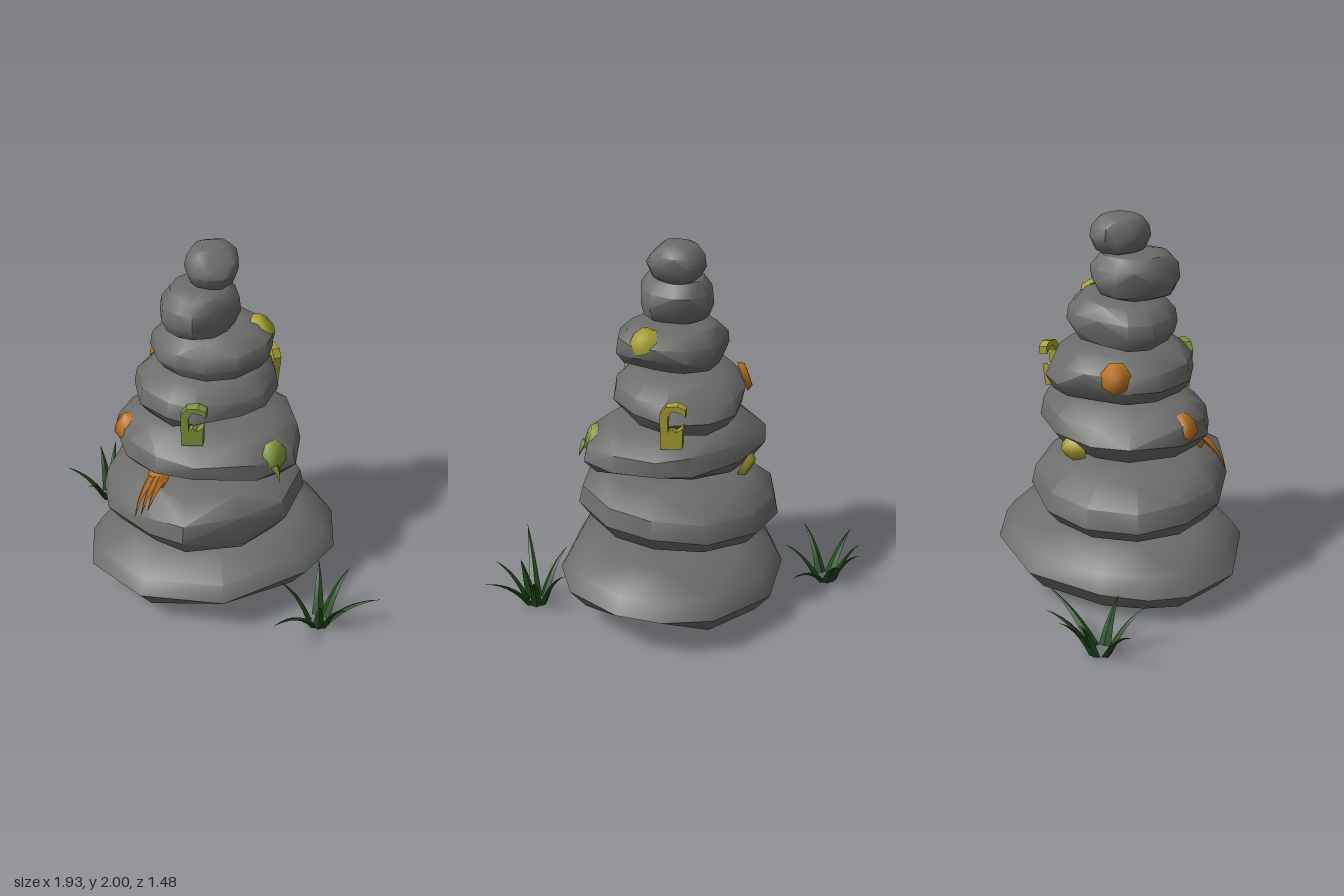
import * as THREE from 'three';
import { toCreasedNormals } from 'three/addons/utils/BufferGeometryUtils.js';
import { ConvexGeometry } from 'three/addons/geometries/ConvexGeometry.js';

const SIDES = 12;
const V = (x, y, z) => new THREE.Vector3(x, y, z);
const mat = (color) => new THREE.MeshStandardMaterial({ color, side: THREE.DoubleSide });
const stoneMat = mat(0x6c6c6a), grassMat = mat(0x1f4a1c);
const yellow = mat(0xa8a034), green = mat(0x7f963c), orange = mat(0xb8701e);

function makeRandom(seed) {
  return () => {
    seed = (seed * 16807) % 2147483647;
    return seed / 2147483647;
  };
}

// Stone cross-sections as [radius, height] fractions
const FLAT = [[0.5, 0.01], [0.86, 0.16], [1, 0.46], [0.92, 0.7], [0.68, 0.93], [0.4, 1]];
const FULL = [[0.55, 0.01], [0.87, 0.13], [1, 0.4], [0.96, 0.68], [0.74, 0.93], [0.42, 1]];
const ROUND = [[0.5, 0.01], [0.82, 0.15], [1, 0.45], [0.94, 0.72], [0.7, 0.93], [0.42, 1]];

// Stones from bottom to top: x, y and z ranges, tilt along x and z,
// chips as [angle from +z towards +x, elevation, distance],
// and diag, which widens the stone between its right front and left back
const STONES = [
  { x: [-0.69, 0.68], y: [0.01, 0.42], z: [-0.64, 0.57], tilt: [0.07, 0.03], profile: FLAT, chips: [[120, -32, 0.97], [25, -35, 0.97]],
    outline: [[0.15, 0.57], [0.55, 0.26], [0.68, 0.02], [0.64, -0.3], [0.51, -0.5], [0.28, -0.64],
      [-0.13, -0.64], [-0.48, -0.4], [-0.62, -0.2], [-0.69, 0], [-0.62, 0.3], [-0.3, 0.55]] },
  { x: [-0.6, 0.49], y: [0.4, 0.78], z: [-0.53, 0.55], tilt: [0.065, 0.06], profile: FULL, diag: -0.04, chips: [[28, 0, 0.9], [315, 5, 0.91]] },
  { x: [-0.52, 0.46], y: [0.77, 1.1], z: [-0.45, 0.4], tilt: [-0.04, -0.05], profile: FULL, diag: -0.01, chips: [[12, -32, 0.86], [118, -35, 0.87], [230, 25, 0.9]] },
  { x: [-0.42, 0.33], y: [1.07, 1.36], z: [-0.43, 0.33], tilt: [0, 0.02], profile: FULL, diag: 0.05, chips: [[160, 20, 0.88], [215, -15, 0.87], [35, -35, 0.88]] },
  { x: [-0.33, 0.3], y: [1.34, 1.6], z: [-0.31, 0.25], tilt: [0.06, 0], profile: FULL, diag: 0.01, chips: [[115, -30, 0.87], [215, -5, 0.87]] },
  { x: [-0.26, 0.14], y: [1.58, 1.82], z: [-0.21, 0.25], tilt: [0, 0], profile: FULL, diag: 0.06, chips: [[45, 0, 0.86], [130, -15, 0.93], [235, -10, 0.88]] },
  { x: [-0.15, 0.12], y: [1.8, 2], z: [-0.2, 0.12], tilt: [0, 0], profile: ROUND, diag: 0, chips: [[30, 35, 0.88], [110, -15, 0.9], [250, 10, 0.9]] },
];

function makeStone({ x, y, z, tilt, profile, diag, chips, outline }, index) {
  const random = makeRandom(101 + index * 977);
  const size = V(x[1] - x[0], y[1] - y[0], z[1] - z[0]);
  const rim = Array.from({ length: SIDES }, (_, i) => {
    if (outline) return [outline[i][0] / size.x * 2, (outline[i][1] + 0.035) / size.z * 2];
    const a = ((i + 0.3 * random()) / SIDES) * Math.PI * 2;
    const r = 0.97 + 0.07 * random() - diag * Math.sin(2 * a);
    return [Math.sin(a) * r, Math.cos(a) * r];
  });
  const cuts = chips.map(([angle, elevation, dist]) => ({
    n: V().setFromSphericalCoords(1, THREE.MathUtils.degToRad(90 - elevation), THREE.MathUtils.degToRad(angle)), dist,
  }));
  const points = [];
  profile.forEach(([r, h], ring) => {
    for (const [rx, rz] of rim) {
      const inner = ring > 0 && ring < profile.length - 1;
      const v = V(rx * r, h * 2 - 1 + (inner ? 0.1 * (random() - 0.5) : 0), rz * r);
      // Flatten the chipped faces
      for (const { n, dist } of cuts) v.addScaledVector(n, -Math.max(0, v.dot(n) - dist));
      v.y += (v.x * tilt[0] * size.x + v.z * tilt[1] * size.z) / size.y;
      points.push(v);
    }
  });
  // Fit to the stone's ranges
  const b = new THREE.Box3().setFromPoints(points);
  const s = size.divide(b.getSize(V()));
  for (const v of points) v.sub(b.min).multiply(s).add(V(x[0], y[0], z[0]));
  const mesh = new THREE.Mesh(toCreasedNormals(new ConvexGeometry(points), 0.7), stoneMat);
  mesh.name = `stone${index + 1}`;
  return mesh;
}

// Thin scab of lichen lying on a stone, facing along normal
function makePatch(name, material, pos, normal, width, height) {
  const geo = toCreasedNormals(new THREE.CylinderGeometry(0.75, 1, 0.035, 7), 0.4).rotateX(Math.PI / 2).scale(width, height, 1);
  const mesh = new THREE.Mesh(geo, material);
  mesh.name = name;
  mesh.position.set(...pos);
  mesh.lookAt(V(...pos).add(V(...normal)));
  return mesh;
}

// Hanging moss strip with a curled top and a broad jagged foot
function makeHook(material, pos, turn) {
  const outline = [[-0.06, -0.13], [0.05, -0.12], [0.055, 0], [0.02, -0.03], [0, -0.01], [-0.02, -0.03], [-0.02, 0.05],
    [0, 0.09], [0.05, 0.08], [0.07, 0.06], [0.07, 0.1], [0.03, 0.12], [-0.03, 0.11], [-0.06, 0.07]];
  const shape = new THREE.Shape(outline.map((q) => new THREE.Vector2(...q)));
  const geo = new THREE.ExtrudeGeometry(shape, { depth: 0.045, bevelEnabled: false });
  const mesh = new THREE.Mesh(geo, material);
  mesh.name = 'hangingMoss';
  mesh.position.set(...pos);
  mesh.rotation.set(0.1, turn, 0, 'YXZ');
  return mesh;
}

// Cone bent along a curve; flat makes it blade-like
function bentCone(start, middle, end, radius, flat, material, name) {
  const curve = new THREE.QuadraticBezierCurve3(start, middle, end);
  const geo = new THREE.ConeGeometry(radius, 1, 4, 6);
  const p = geo.attributes.position, v = V();
  const side = V(end.z - start.z, 0, start.x - end.x).normalize();
  for (let i = 0; i < p.count; i++) {
    v.fromBufferAttribute(p, i);
    const t = THREE.MathUtils.clamp(v.y + 0.5, 0, 1);
    const out = side.clone().cross(curve.getTangent(t));
    const q = curve.getPoint(t).addScaledVector(side, v.x).addScaledVector(out, v.z * flat);
    p.setXYZ(i, q.x, q.y, q.z);
  }
  const mesh = new THREE.Mesh(toCreasedNormals(geo, 0.6), material);
  mesh.name = name;
  return mesh;
}

function makeTuft(name, cx, cz, tips) {
  const tuft = new THREE.Group();
  tuft.name = name;
  for (const [x, y, z] of tips) {
    const dir = V(x - cx, 0, z - cz), reach = dir.length();
    dir.normalize();
    const start = V(cx, 0.01, cz).addScaledVector(dir, 0.05);
    const middle = V(cx, y * 0.8, cz).addScaledVector(dir, 0.05 + reach * 0.35);
    tuft.add(bentCone(start, middle, V(x, y, z), 0.033, 0.45, grassMat, 'grassBlade'));
  }
  return tuft;
}

export function createModel() {
  const model = new THREE.Group();
  model.name = 'stoneCairn';
  STONES.forEach((s, i) => model.add(makeStone(s, i)));

  // Lichen patches
  model.add(
    makePatch('yellowLichen', yellow, [0.25, 1.555, -0.075], [0.7, 0.7, 0], 0.08, 0.085),
    makePatch('greenLichen', green, [0.36, 0.965, 0.215], [0.8, 0.35, 0.6], 0.085, 0.085),
    makePatch('orangeLichenLeft', orange, [-0.465, 0.99, 0.1], [-0.85, 0.5, 0.25], 0.07, 0.08),
    makePatch('orangeLichenBack', orange, [-0.325, 1.26, -0.235], [-0.75, 0.35, -0.6], 0.08, 0.085),
    makePatch('yellowLichenBack', yellow, [-0.18, 0.85, -0.405], [-0.35, -0.4, -0.85], 0.08, 0.07),
    makePatch('orangeLichenFront', orange, [-0.245, 0.82, 0.295], [-0.45, 0.5, 0.75], 0.065, 0.07),
  );

  // Drips below the front orange and the green lichen
  for (const [i, y] of [0.62, 0.65, 0.68].entries()) {
    const x = -0.345 + i * 0.035;
    model.add(bentCone(V(-0.27 + i * 0.025, 0.82, 0.31), V(x + 0.02, 0.75, 0.38), V(x, y, 0.42), 0.026, 0.8, orange, 'orangeDrip'));
  }
  for (const z of [0.17, 0.26]) {
    model.add(bentCone(V(0.36, 0.93, z), V(0.39, 0.89, z + 0.01), V(0.39, 0.84, z + 0.02), 0.025, 0.8, green, 'greenDrip'));
  }

  // Hanging moss
  model.add(makeHook(green, [-0.05, 1.18, 0.285], 0), makeHook(yellow, [0.245, 1.18, -0.3], 2.2));

  // Grass tufts
  model.add(
    makeTuft('grassLeft', 0.64, 0.38, [[0.96, 0.23, 0.4], [0.78, 0.25, 0.2], [0.61, 0.25, 0.15],
      [0.42, 0.26, 0.38], [0.43, 0.27, 0.73], [0.79, 0.25, 0.54], [0.65, 0.22, 0.5]]),
    makeTuft('grassRight', -0.72, -0.52, [[-0.33, 0.2, -0.62], [-0.56, 0.22, -0.74], [-0.73, 0.24, -0.75],
      [-0.81, 0.25, -0.68], [-0.97, 0.21, -0.48], [-0.79, 0.24, -0.28], [-0.57, 0.2, -0.34]]),
  );
  return model;
}
